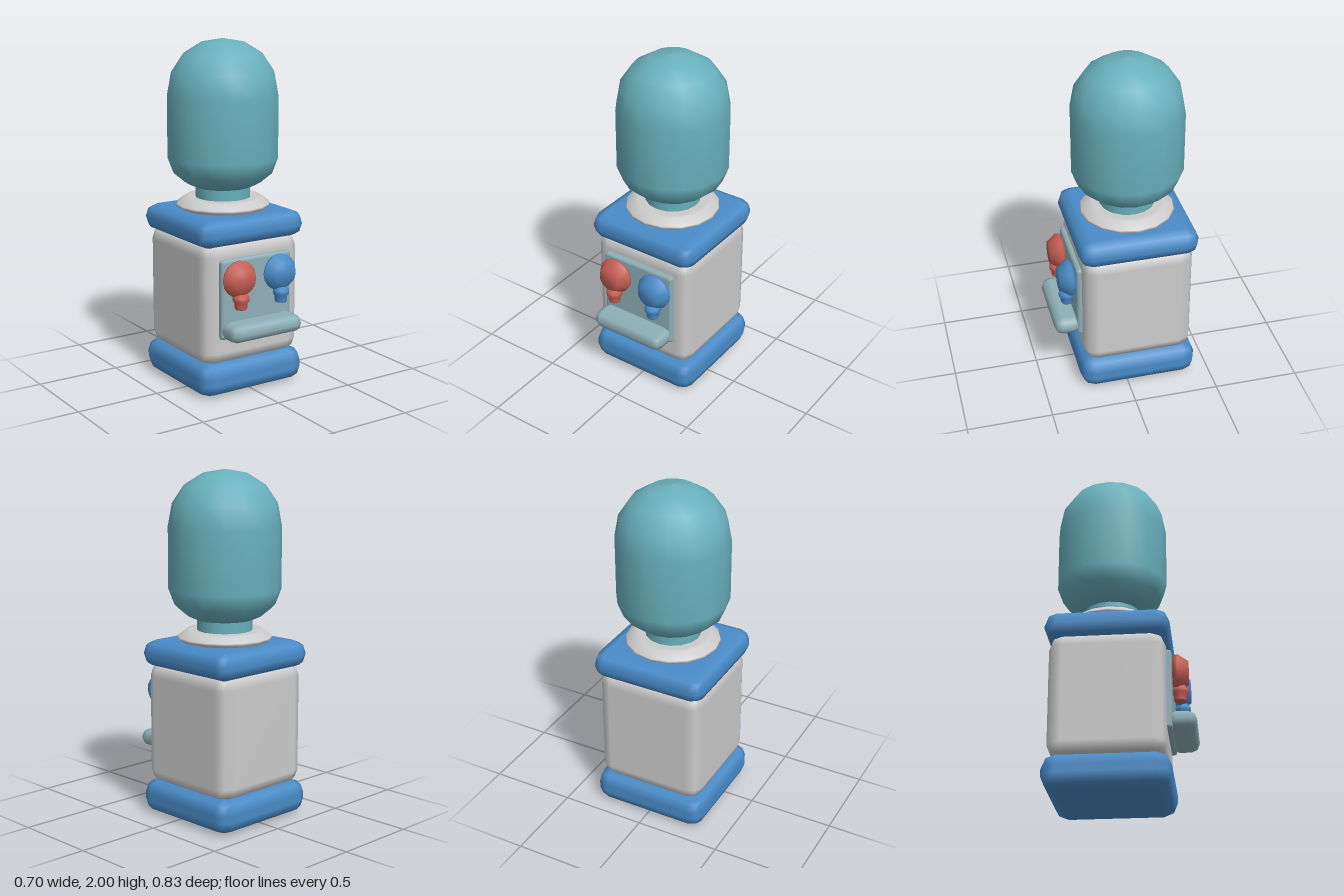
import * as THREE from 'three';
import { RoundedBoxGeometry } from 'three/addons/geometries/RoundedBoxGeometry.js';

const mat = (color) => new THREE.MeshStandardMaterial({ color });
const blue = mat(0x4a8cc9), grey = mat(0xcccccc), teal = mat(0x69b0bc);
const red = mat(0xc75f55), panelTeal = mat(0x8fb0b7);

const CZ = -0.07; // centre line of the body

export function createModel() {
  const model = new THREE.Group();
  model.name = 'dispenser';

  const add = (name, geometry, material, x, y, z, parent = model) => {
    const mesh = new THREE.Mesh(geometry, material);
    mesh.name = name;
    mesh.position.set(x, y, z);
    parent.add(mesh);
    return mesh;
  };
  // Box with two-facet rounded edges, given by its lower and upper y and its z range
  const block = (name, material, w, y0, y1, z0, z1, r) =>
    add(name, new RoundedBoxGeometry(w, y1 - y0, z1 - z0, 1, r), material,
      0, (y0 + y1) / 2, (z0 + z1) / 2);
  const lathe = (points, sides) =>
    new THREE.LatheGeometry(points.map(([r, y]) => new THREE.Vector2(r, y)), sides);

  // Cabinet
  block('base', blue, 0.7, 0, 0.2, -0.42, 0.28, 0.08);
  block('body', grey, 0.65, 0.18, 0.9, -0.395, 0.255, 0.08);
  block('topSlab', blue, 0.7, 0.87, 1.03, -0.42, 0.28, 0.075);

  // Collar
  add('collar', lathe([[0.23, 1.01], [0.255, 1.03], [0.275, 1.045], [0.27, 1.055],
    [0.225, 1.09], [0.2, 1.09], [0, 1.09]], 16), grey, 0, 0, CZ);

  // Bottle with a short neck
  add('bottleNeck', new THREE.CylinderGeometry(0.16, 0.16, 0.12, 16, 1, true), teal, 0, 1.12, CZ);
  add('bottle', lathe([[0, 1.15], [0.165, 1.153], [0.22, 1.178], [0.288, 1.235], [0.322, 1.325],
    [0.322, 1.68], [0.298, 1.81], [0.23, 1.912], [0.125, 1.978], [0, 2.0]], 16), teal, 0, 0, CZ);

  // Front panel and drip tray
  block('panel', panelTeal, 0.475, 0.345, 0.81, 0.2, 0.285, 0.02);
  block('dripTray', panelTeal, 0.48, 0.35, 0.455, 0.25, 0.415, 0.05);

  // Taps: a round knob facing forward over a small spout
  for (const [side, x, material] of [['right', -0.137, red], ['left', 0.137, blue]]) {
    const tap = new THREE.Group();
    tap.name = side + 'Tap';
    tap.position.set(x, 0, 0.325);
    model.add(tap);
    const knob = add('knob', lathe([[0, -0.05], [0.075, -0.045], [0.105, -0.024], [0.107, -0.01],
      [0.067, 0.048], [0, 0.05]], 16), material, 0, 0.7, 0, tap);
    knob.rotation.x = Math.PI / 2;
    add('spout', lathe([[0, 0.53], [0.032, 0.53], [0.036, 0.538], [0.036, 0.565], [0.047, 0.578],
      [0.047, 0.6], [0.03, 0.622], [0, 0.625]], 12), material, 0, 0, 0, tap);
  }
  return model;
}
